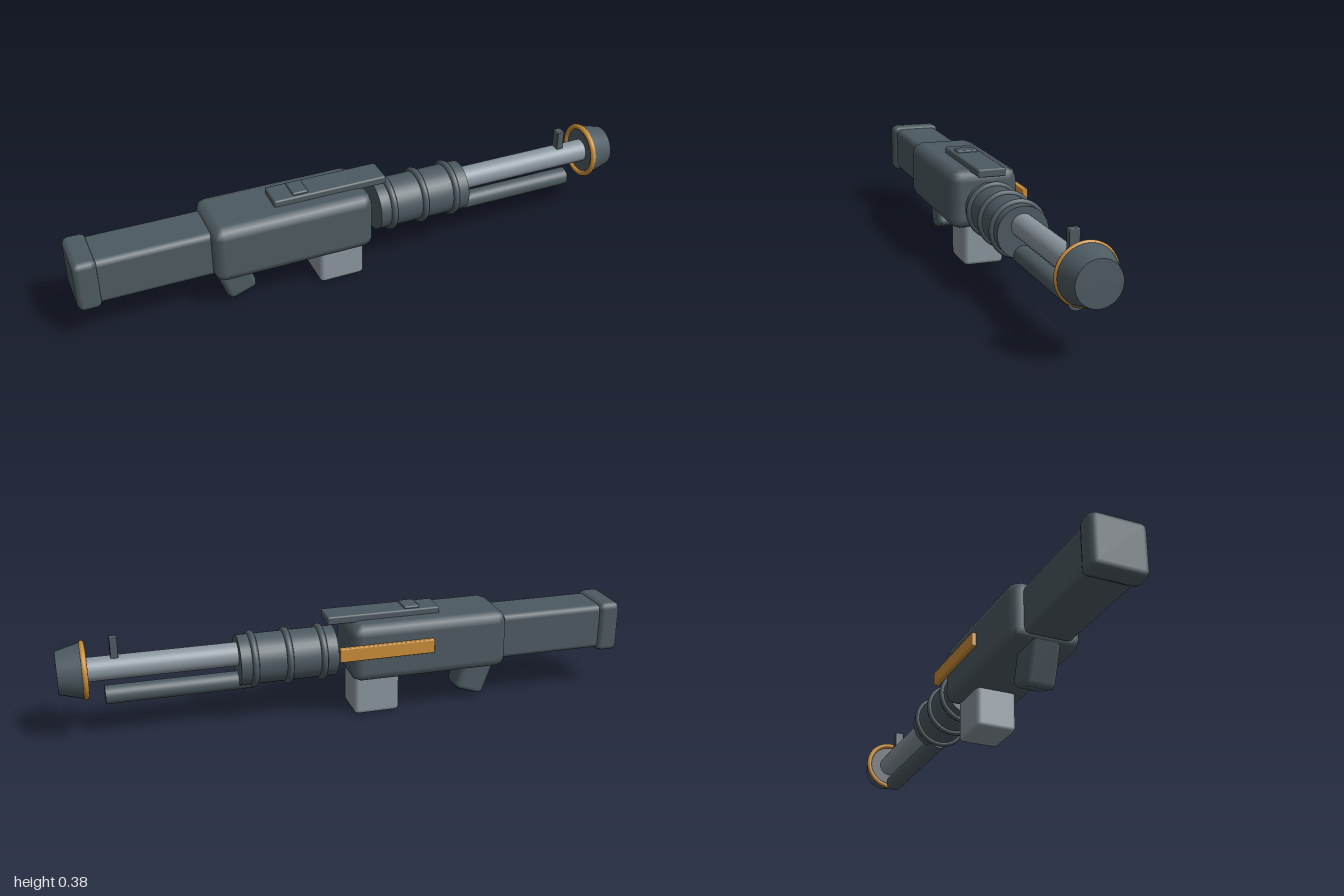
import * as THREE from 'three';
import { RoundedBoxGeometry } from 'three/addons/geometries/RoundedBoxGeometry.js';

const MID = 0.008; // z of the long axis

function material(name, color) {
  const m = new THREE.MeshStandardMaterial({ color });
  m.name = name;
  return m;
}

export function createModel() {
  const root = new THREE.Group();
  root.name = 'launcher';
  const dark = material('darkSteel', 0x4d5a61);
  const light = material('lightSteel', 0x8a959e);
  const orange = material('orangeTrim', 0xc98d38);

  function add(name, geometry, mat, x, y, z = MID) {
    const mesh = new THREE.Mesh(geometry, mat);
    mesh.name = name;
    mesh.position.set(x, y, z);
    root.add(mesh);
    return mesh;
  }
  // Bevelled box given by its x and y extents and its depth
  function box(name, mat, x0, x1, y0, y1, depth, radius, z = MID) {
    const g = new RoundedBoxGeometry(x1 - x0, y1 - y0, depth, 1, radius);
    return add(name, g, mat, (x0 + x1) / 2, (y0 + y1) / 2, z);
  }
  // Round part along x, with a radius at each end
  function tube(name, mat, x0, x1, y, r0, r1 = r0) {
    const g = new THREE.CylinderGeometry(r1, r0, x1 - x0, 32).rotateZ(-Math.PI / 2);
    return add(name, g, mat, (x0 + x1) / 2, y);
  }
  function ring(name, mat, x, y, radius, thickness) {
    const g = new THREE.TorusGeometry(radius, thickness, 8, 40).rotateY(Math.PI / 2);
    return add(name, g, mat, x, y);
  }

  // Stock and receiver
  box('buttPlate', dark, -1, -0.92, 0.15, 0.333, 0.19, 0.02);
  box('stock', dark, -0.94, -0.53, 0.16, 0.325, 0.17, 0.02);
  box('receiver', dark, -0.55, 0.02, 0.142, 0.35, 0.246, 0.037);

  // Grip and magazine
  const grip = add('grip', new RoundedBoxGeometry(0.11, 0.18, 0.11, 1, 0.02), dark, -0.467, 0.115);
  grip.rotation.z = 0.34;
  box('magazine', light, -0.165, 0, 0.003, 0.17, 0.144, 0.015);

  // Top rail and rear sight
  box('topRail', dark, -0.315, 0.09, 0.343, 0.372, 0.1, 0.006);
  box('rearSight', dark, -0.245, -0.19, 0.362, 0.38, 0.076, 0.005);

  // Side strip on the back
  box('sideStrip', orange, -0.27, 0.07, 0.237, 0.287, 0.02, 0.004, -0.12);

  // Ribbed handguard
  tube('handguard', dark, 0.06, 0.4, 0.232, 0.088);
  for (const x of [0.11, 0.23, 0.35]) ring('handguardRib', dark, x, 0.232, 0.088, 0.012);

  // Barrel, lower tube and front sight
  tube('barrel', light, 0.38, 0.93, 0.255, 0.041);
  tube('lowerTube', dark, 0.35, 0.85, 0.158, 0.032);
  box('frontSight', dark, 0.797, 0.823, 0.28, 0.362, 0.034, 0.003);

  // Muzzle
  tube('muzzle', dark, 0.912, 1, 0.255, 0.096, 0.0725);
  ring('muzzleRing', orange, 0.912, 0.255, 0.09, 0.01);

  return root;
}
